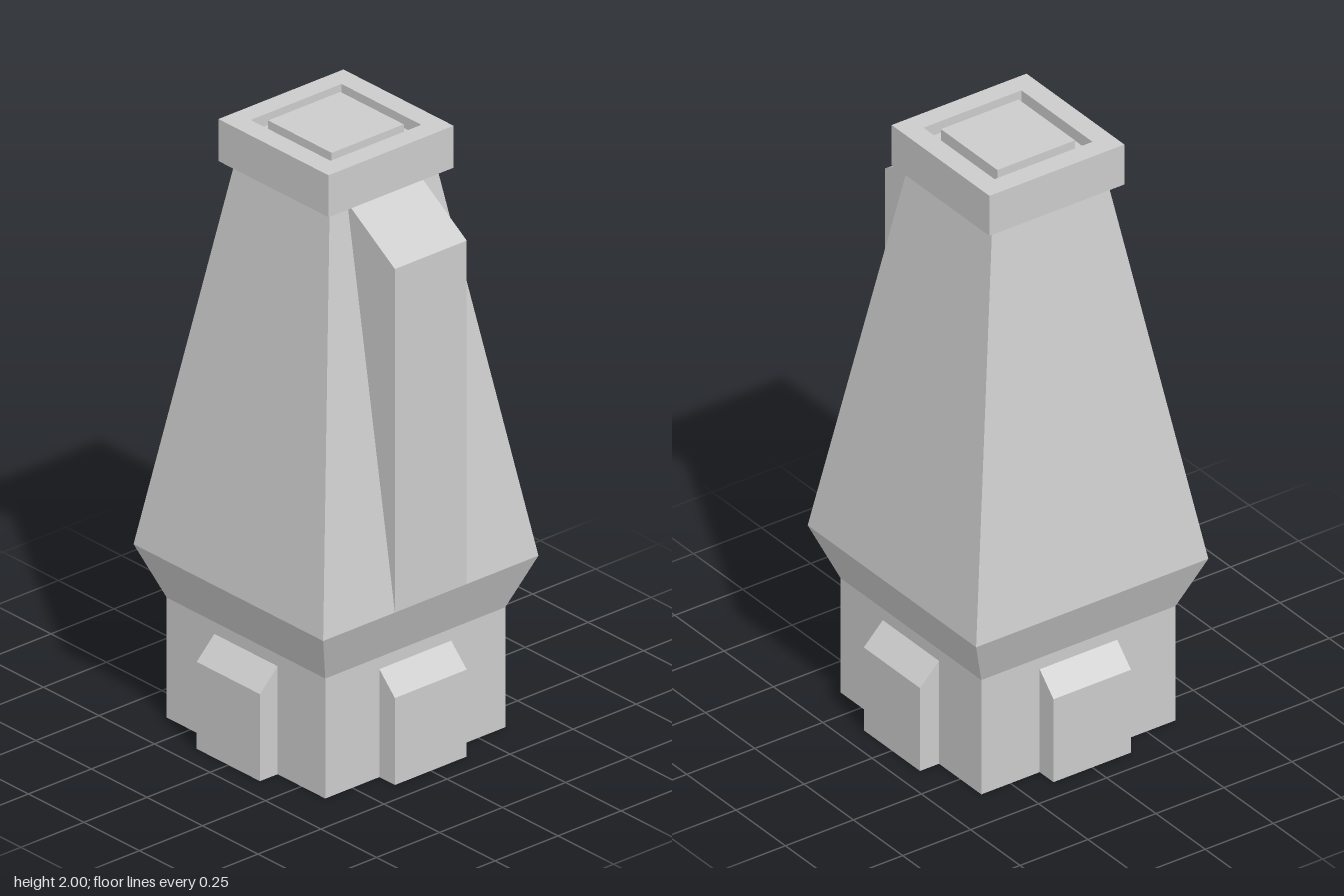
import * as THREE from 'three';

const material = new THREE.MeshStandardMaterial({ color: 0xcccccc, flatShading: true });

// Square stack: profile of [half width, y] from bottom to top
function squareLathe(name, profile) {
  const points = profile.map(([half, y]) => new THREE.Vector2(half * Math.SQRT2, y));
  const geometry = new THREE.LatheGeometry(points, 4, Math.PI / 4).toNonIndexed();
  geometry.computeVertexNormals();
  const mesh = new THREE.Mesh(geometry, material);
  mesh.name = name;
  return mesh;
}

// Slab with an x-y outline, centred on z = 0
function slab(name, outline, width) {
  const shape = new THREE.Shape(outline.map(([x, y]) => new THREE.Vector2(x, y)));
  const geometry = new THREE.ExtrudeGeometry(shape, { depth: width, bevelEnabled: false });
  geometry.translate(0, 0, -width / 2);
  const mesh = new THREE.Mesh(geometry, material);
  mesh.name = name;
  return mesh;
}

export function createModel() {
  const group = new THREE.Group();
  group.name = 'tower';
  const outer = 0.427, base = 0.357, neck = 0.213, width = 0.285;

  // Square base flaring into the tapered shaft
  group.add(squareLathe('shaft', [
    [0, 0], [base, 0], [base, 0.4], [outer, 0.575], [neck, 1.86], [0, 1.86],
  ]));

  // Overhanging cap with a square groove around a central panel
  group.add(squareLathe('cap', [
    [0, 1.86], [0.248, 1.86], [0.248, 2], [0.18, 2], [0.18, 1.96],
    [0.143, 1.96], [0.143, 2], [0, 2],
  ]));

  // Four chamfered buttresses around the base
  for (let i = 0; i < 4; i++) {
    const buttress = slab('buttress', [
      [base - 0.02, 0], [outer, 0], [outer, 0.29], [base, 0.36], [base - 0.02, 0.36],
    ], width);
    buttress.rotation.y = i * Math.PI / 2;
    group.add(buttress);
  }

  // Vertical fin on the left side of the shaft
  group.add(slab('sideFin', [
    [outer, 0.575], [outer, 1.72], [neck, 1.86], [neck - 0.02, 1.86],
  ], width));

  return group;
}
